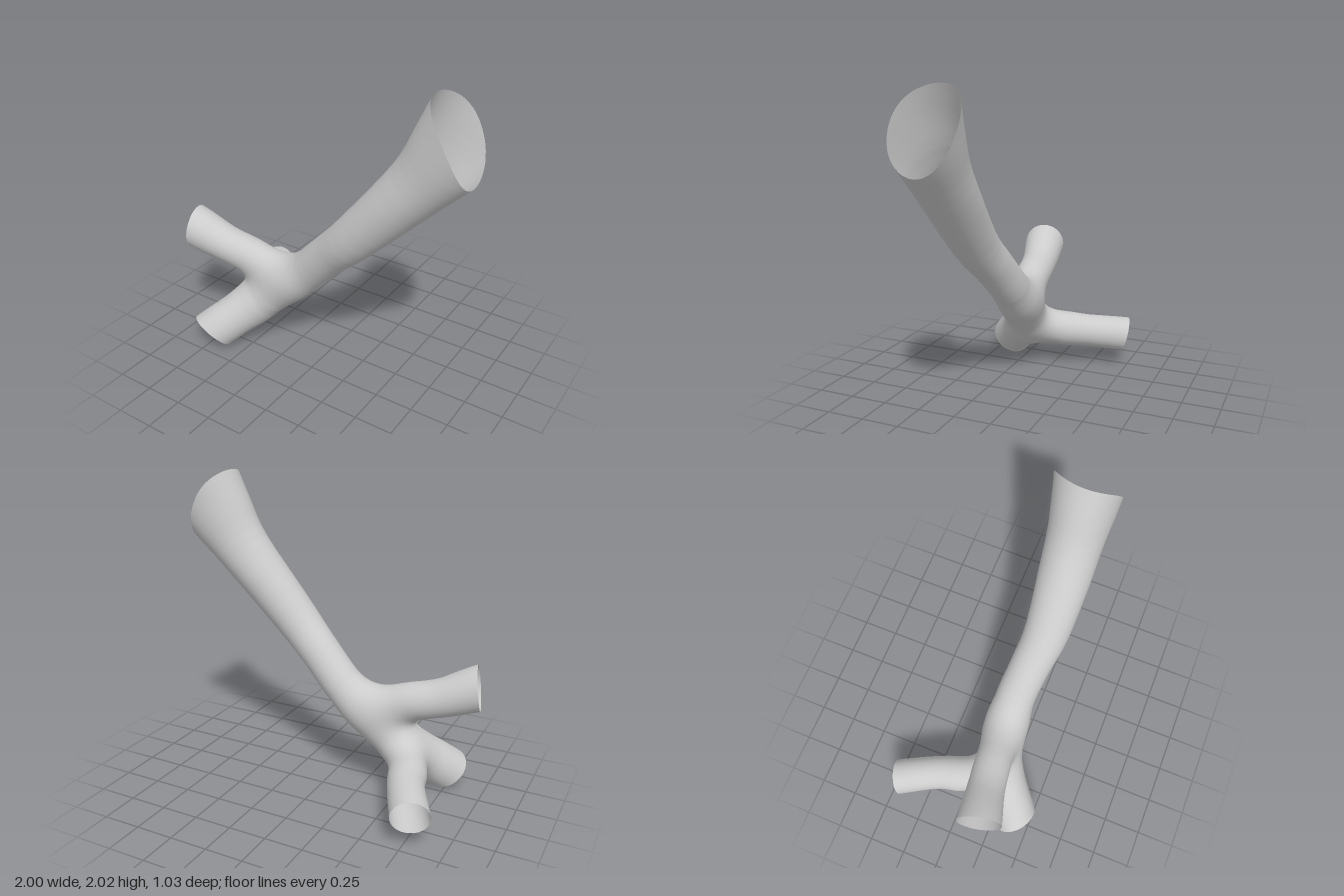
import * as THREE from 'three';

// Each tube is a centreline with radii: [x, y, z, radius]
const TUBES = {
  trunk: [[1.07, 2.06, 0.14, 0.29], [0.877, 1.765, 0.16, 0.237], [0.68, 1.5, 0.172, 0.181], [0.3, 1.075, 0.182, 0.145],
    [0.085, 0.863, 0.146, 0.131], [-0.14, 0.635, 0.117, 0.132], [-0.45, 0.362, 0.165, 0.14], [-0.735, 0.105, 0.385, 0.145],
    [-0.93, -0.1, 0.54, 0.145]],
  upperBranch: [[-1.2, 0.87, 0.27, 0.152], [-0.965, 0.785, 0.22, 0.143], [-0.74, 0.695, 0.172, 0.123],
    [-0.5, 0.637, 0.138, 0.116], [-0.25, 0.575, 0.115, 0.068]],
  backBranch: [[-0.92, 0.17, -0.7, 0.12], [-0.803, 0.21, -0.475, 0.12], [-0.675, 0.245, -0.22, 0.114],
    [-0.622, 0.258, -0.05, 0.12], [-0.54, 0.29, 0.13, 0.075]],
};

// Open ends: point on the cut, outward direction, and how far the rim bulges at its z sides
const CUTS = [
  { at: [0.877, 1.765, 0.16], dir: [0.88, 0.48, 0.03], bulge: 0.05 },
  { at: [-0.735, 0.105, 0.385], dir: [-0.37, -0.71, 0.6], bulge: 0 },
  { at: [-0.965, 0.785, 0.22], dir: [-0.95, 0.12, 0.23], bulge: 0 },
  { at: [-0.803, 0.21, -0.475], dir: [-0.35, -0.23, -0.9], bulge: 0 },
];
const BLEND = 0.17;
const STEP = 0.03;

// Sample a tube as a smooth chain of short tapered segments
function sampleTube(points) {
  const path = new THREE.CatmullRomCurve3(points.map(p => new THREE.Vector3(p[0], p[1], p[2])), false, 'catmullrom');
  const radius = new THREE.CatmullRomCurve3(points.map(p => new THREE.Vector3(p[3], 0, 0)), false, 'catmullrom');
  const n = (points.length - 1) * 4;
  return Array.from({ length: n + 1 }, (_, i) => {
    const p = path.getPoint(i / n);
    return [p.x, p.y, p.z, radius.getPoint(i / n).x];
  });
}
const chains = Object.values(TUBES).map(sampleTube);

// Distance to a chain of round cones
function tubeDistance(chain, x, y, z) {
  let best = Infinity;
  for (let i = 1; i < chain.length; i++) {
    const a = chain[i - 1], b = chain[i];
    const ux = b[0] - a[0], uy = b[1] - a[1], uz = b[2] - a[2];
    const px = x - a[0], py = y - a[1], pz = z - a[2];
    const length = Math.sqrt(ux * ux + uy * uy + uz * uz);
    const slope = Math.max(-0.9, Math.min(0.9, (b[3] - a[3]) / length));
    const along = (px * ux + py * uy + pz * uz) / length;
    const across = Math.sqrt(Math.max(0, px * px + py * py + pz * pz - along * along));
    const s = Math.min(length, Math.max(0, along + slope * across / Math.sqrt(1 - slope * slope)));
    best = Math.min(best, Math.hypot(across, along - s) - a[3] - slope * s);
  }
  return best;
}

// Smooth union of all tubes gives the rounded forks; the trunk's mouth is oval, narrower in z
function field(x, y, z) {
  const oval = 1 + 0.2 * THREE.MathUtils.smoothstep(y, 1.3, 1.85);
  let d = tubeDistance(chains[0], x, y, 0.16 + (z - 0.16) * oval);
  for (let i = 1; i < chains.length; i++) {
    const e = tubeDistance(chains[i], x, y, z);
    const h = Math.max(BLEND - Math.abs(d - e), 0) / BLEND;
    d = Math.min(d, e) - h * h * BLEND * 0.25;
  }
  return d;
}

function gradient(p, e = 0.02) {
  return new THREE.Vector3(
    field(p.x + e, p.y, p.z) - field(p.x - e, p.y, p.z),
    field(p.x, p.y + e, p.z) - field(p.x, p.y - e, p.z),
    field(p.x, p.y, p.z + e) - field(p.x, p.y, p.z - e)).normalize();
}

// Skin the field with one vertex per crossed grid cell, pulled onto the surface
function skin() {
  const lo = [-1.4, -0.3, -0.9], size = [94, 96, 58];
  const id = (i, j, k) => (k * size[1] + j) * size[0] + i;
  const values = new Float32Array(size[0] * size[1] * size[2]);
  for (let k = 0; k < size[2]; k++) for (let j = 0; j < size[1]; j++) for (let i = 0; i < size[0]; i++)
    values[id(i, j, k)] = field(lo[0] + i * STEP, lo[1] + j * STEP, lo[2] + k * STEP);

  const cells = new Map();
  function cellVertex(c) {
    const key = id(...c);
    if (!cells.has(key)) {
      const p = new THREE.Vector3(...c.map((v, a) => lo[a] + (v + 0.5) * STEP));
      for (let s = 0; s < 4; s++) p.addScaledVector(gradient(p), -field(p.x, p.y, p.z));
      cells.set(key, { p, n: gradient(p) });
    }
    return cells.get(key);
  }

  const triangles = [];
  for (let k = 1; k < size[2] - 1; k++) for (let j = 1; j < size[1] - 1; j++) for (let i = 1; i < size[0] - 1; i++) {
    for (let axis = 0; axis < 3; axis++) {
      const next = [i, j, k];
      next[axis]++;
      const inside = values[id(i, j, k)] < 0;
      if (inside === values[id(...next)] < 0) continue;
      const b = (axis + 1) % 3, c = (axis + 2) % 3;
      const quad = [[1, 1], [0, 1], [0, 0], [1, 0]].map(([s, t]) => {
        const cell = [i, j, k];
        cell[b] -= s;
        cell[c] -= t;
        return cellVertex(cell);
      });
      if (!inside) quad.reverse();
      triangles.push([quad[0], quad[1], quad[2]], [quad[0], quad[2], quad[3]]);
    }
  }
  return triangles;
}

// Trim polygons to the inner side of an open end
function trim(polygons, { at, dir, bulge }) {
  const n = new THREE.Vector3(...dir).normalize(), c = new THREE.Vector3(...at);
  const side = p => n.dot(p) - n.dot(c) - bulge * ((p.z - c.z) / 0.21) ** 2;
  return polygons.map(poly => {
    const out = [];
    poly.forEach((v, i) => {
      const w = poly[(i + 1) % poly.length], f = side(v.p), g = side(w.p);
      if (f <= 0) out.push(v);
      if ((f <= 0) !== (g <= 0)) {
        const t = f / (f - g);
        out.push({ p: v.p.clone().lerp(w.p, t), n: v.n.clone().lerp(w.n, t).normalize() });
      }
    });
    return out;
  }).filter(poly => poly.length > 2);
}

export function createModel() {
  const polygons = CUTS.reduce(trim, skin());
  const positions = [], normals = [];
  for (const poly of polygons) for (let i = 2; i < poly.length; i++) {
    for (const v of [poly[0], poly[i - 1], poly[i]]) {
      positions.push(...v.p.toArray());
      normals.push(...v.n.toArray());
    }
  }
  const geometry = new THREE.BufferGeometry();
  geometry.setAttribute('position', new THREE.Float32BufferAttribute(positions, 3));
  geometry.setAttribute('normal', new THREE.Float32BufferAttribute(normals, 3));

  // Centre on x and z, stand on y = 0
  geometry.computeBoundingBox();
  const box = geometry.boundingBox, mid = box.getCenter(new THREE.Vector3());
  geometry.translate(-mid.x, -box.min.y, -mid.z);

  const mesh = new THREE.Mesh(geometry, new THREE.MeshStandardMaterial({ color: 0xcccccc, side: THREE.DoubleSide }));
  mesh.name = 'branchingTube';
  const group = new THREE.Group();
  group.name = 'forkedVessel';
  group.add(mesh);
  return group;
}
